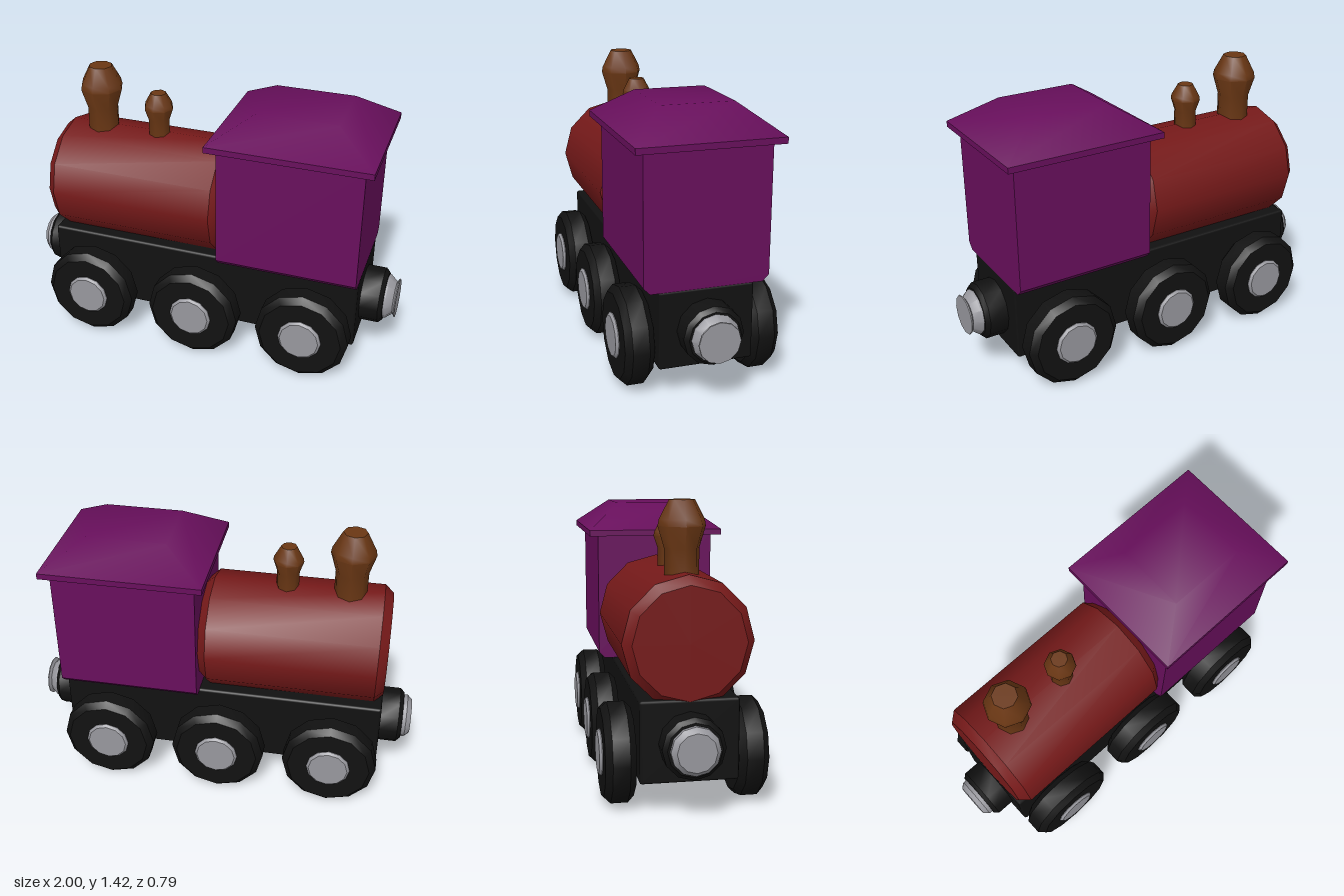
import * as THREE from 'three';
import { toCreasedNormals } from 'three/addons/utils/BufferGeometryUtils.js';
import { RoundedBoxGeometry } from 'three/addons/geometries/RoundedBoxGeometry.js';

const paint = (color) => new THREE.MeshStandardMaterial({ color });

export function createModel() {
  const train = new THREE.Group();
  train.name = 'toyTrain';
  const black = paint(0x111111);
  const red = paint(0x751919);
  const purple = paint(0x680f5c);
  const brown = paint(0x6a3714);
  const silver = paint(0x97979d);

  const add = (name, geometry, material, x, y, z, parent = train) => {
    const mesh = new THREE.Mesh(geometry, material);
    mesh.name = name;
    mesh.position.set(x, y, z);
    parent.add(mesh);
    return mesh;
  };

  // Turned part: [radius, height] pairs from low to high, closed at both ends
  const turned = (profile, sides = 12, crease = 0.7) => {
    const pts = [[0, profile[0][1]], ...profile, [0, profile[profile.length - 1][1]]];
    const lathe = new THREE.LatheGeometry(pts.map(([r, h]) => new THREE.Vector2(r, h)), sides);
    return toCreasedNormals(lathe, crease);
  };
  const alongX = (geometry) => geometry.rotateZ(-Math.PI / 2);
  const alongZ = (geometry) => geometry.rotateX(Math.PI / 2);

  // Chassis block
  add('chassis', new RoundedBoxGeometry(1.665, 0.385, 0.46, 1, 0.012), black, -0.008, 0.35, 0);

  // Boiler with chamfered ends
  add('boiler', alongX(turned([[0.262, -0.84], [0.303, -0.795], [0.303, 0.06], [0.262, 0.105]])),
    red, 0, 0.795, 0);

  // Chimney and steam dome
  add('chimney', turned([[0.082, 1.05], [0.082, 1.2], [0.112, 1.3], [0.106, 1.33], [0.06, 1.418]], 8, 0.9),
    brown, -0.625, 0, 0);
  add('steamDome', turned([[0.057, 1.05], [0.057, 1.17], [0.077, 1.23], [0.073, 1.25], [0.04, 1.31]], 8, 0.9),
    brown, -0.31, 0, 0);

  // Cab, with its two lower long edges chamfered
  const section = new THREE.Shape();
  [[-0.272, 0.54], [0.272, 0.54], [0.303, 0.572], [0.303, 1.2], [-0.303, 1.2], [-0.303, 0.572]]
    .forEach(([z, y], i) => (i ? section.lineTo(z, y) : section.moveTo(z, y)));
  const cab = new THREE.ExtrudeGeometry(section, { depth: 0.722, bevelEnabled: false });
  add('cab', cab.rotateY(Math.PI / 2), purple, 0.103, 0, 0);

  // Roof: thin eave slab and a hipped top made by narrowing a box
  add('roofEave', new THREE.BoxGeometry(0.815, 0.03, 0.7), purple, 0.463, 1.213, 0);
  const hip = new THREE.BoxGeometry(0.815, 0.132, 0.7);
  const p = hip.attributes.position;
  for (let i = 0; i < p.count; i++) {
    if (p.getY(i) > 0) p.setXYZ(i, p.getX(i) * 0.49, p.getY(i), p.getZ(i) * 0.51);
  }
  add('roofTop', toCreasedNormals(hip, 0.9), purple, 0.463, 1.294, 0);

  // Six wheels with hubs, joined by axles
  const tyre = alongZ(turned([[0.212, 0.237], [0.243, 0.268], [0.243, 0.348], [0.212, 0.379]]));
  const hub = alongZ(turned([[0.112, 0.36], [0.112, 0.382], [0.1, 0.394]]));
  for (const x of [-0.6, -0.012, 0.576]) {
    add('axle', alongZ(new THREE.CylinderGeometry(0.05, 0.05, 0.56, 12)), black, x, 0.245, 0);
    for (const side of [1, -1]) {
      const wheel = new THREE.Group();
      wheel.name = side > 0 ? 'leftWheel' : 'rightWheel';
      wheel.position.set(x, 0.245, 0);
      wheel.rotation.y = side > 0 ? 0 : Math.PI;
      add('tyre', tyre, black, 0, 0, 0, wheel);
      add('hub', hub, silver, 0, 0, 0, wheel);
      train.add(wheel);
    }
  }

  // Couplers: a chamfered black mount at each end with a metal plug
  const mount = alongX(turned([[0.145, 0], [0.145, 0.095], [0.125, 0.115]]));
  add('rearMount', mount, black, 0.825, 0.345, 0);
  add('frontMount', mount, black, -0.84, 0.345, 0).rotation.y = Math.PI;
  add('frontPlug', alongX(turned([[0.09, -1], [0.113, -0.975], [0.113, -0.93]])), silver, 0, 0.345, 0);
  add('rearPlug', alongX(turned([[0.115, 0.92], [0.115, 0.95], [0.085, 0.985], [0.102, 0.995], [0.1, 1]])),
    silver, 0, 0.345, 0);

  return train;
}
